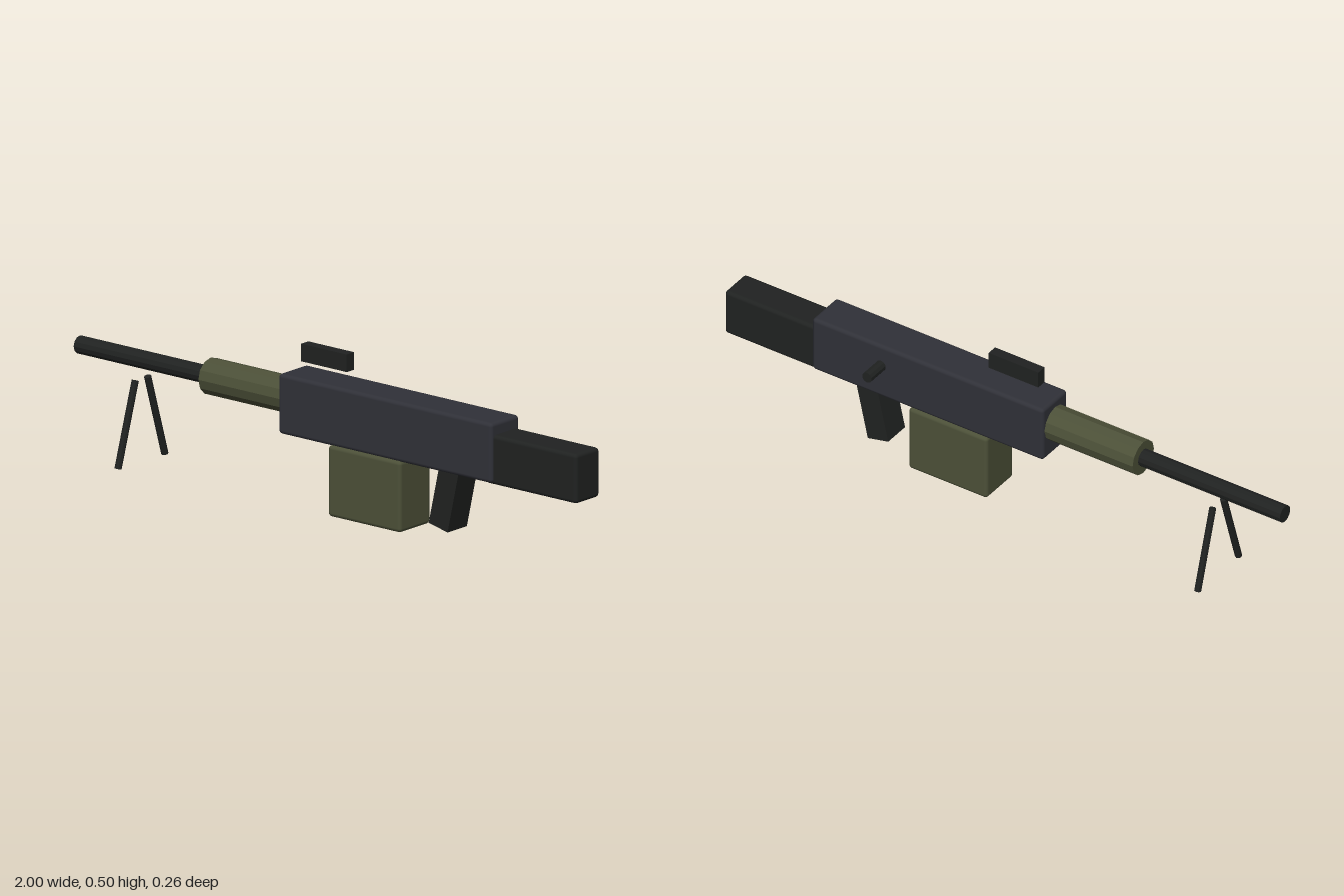
import * as THREE from 'three';
import { RoundedBoxGeometry } from 'three/addons/geometries/RoundedBoxGeometry.js';

const CZ = 0.011; // centre plane of the body

export function createModel() {
  const model = new THREE.Group();
  const paint = (color, flatShading = false) => new THREE.MeshStandardMaterial({ color, flatShading });
  const black = paint(0x202221);
  const steel = paint(0x303138);
  const olive = paint(0x4c5038);
  const blackFacet = paint(0x202221, true);
  const oliveFacet = paint(0x4c5038, true);

  const add = (name, geometry, material, x, y, z = CZ) => {
    const mesh = new THREE.Mesh(geometry, material);
    mesh.name = name;
    mesh.position.set(x, y, z);
    model.add(mesh);
    return mesh;
  };
  const rounded = (w, h, d) => new RoundedBoxGeometry(w, h, d, 2, 0.012);

  // Main body, shoulder stock and ammunition box
  add('receiver', rounded(0.84, 0.188, 0.132), steel, 0.255, 0.316);
  add('stock', rounded(0.36, 0.155, 0.111), black, 0.82, 0.2945);
  add('magazineBox', rounded(0.286, 0.223, 0.144), olive, 0.178, 0.1135);

  // Barrel and handguard, lying along x
  add('barrel', new THREE.CylinderGeometry(0.028, 0.028, 0.86, 12), blackFacet, -0.57, 0.329).rotation.z = Math.PI / 2;
  add('handguard', new THREE.CylinderGeometry(0.057, 0.057, 0.34, 12), oliveFacet, -0.315, 0.328).rotation.z = Math.PI / 2;

  // Raked pistol grip
  add('grip', new THREE.BoxGeometry(0.076, 0.21, 0.09), black, 0.471, 0.141).rotation.z = -0.22;

  // Floating sight above the receiver
  add('sight', new THREE.BoxGeometry(0.18, 0.055, 0.034), black, -0.025, 0.4745);

  // Charging handle on the back side
  add('chargingHandle', new THREE.CylinderGeometry(0.018, 0.018, 0.1, 10), blackFacet, 0.423, 0.338, -0.08).rotation.x = Math.PI / 2;

  // Splayed bipod legs
  for (const side of [1, -1]) {
    const leg = add('bipodLeg', new THREE.CylinderGeometry(0.011, 0.011, 0.272, 8), blackFacet,
      -0.757, 0.139, CZ + side * 0.069);
    leg.rotation.x = -side * 0.3;
  }

  return model;
}
